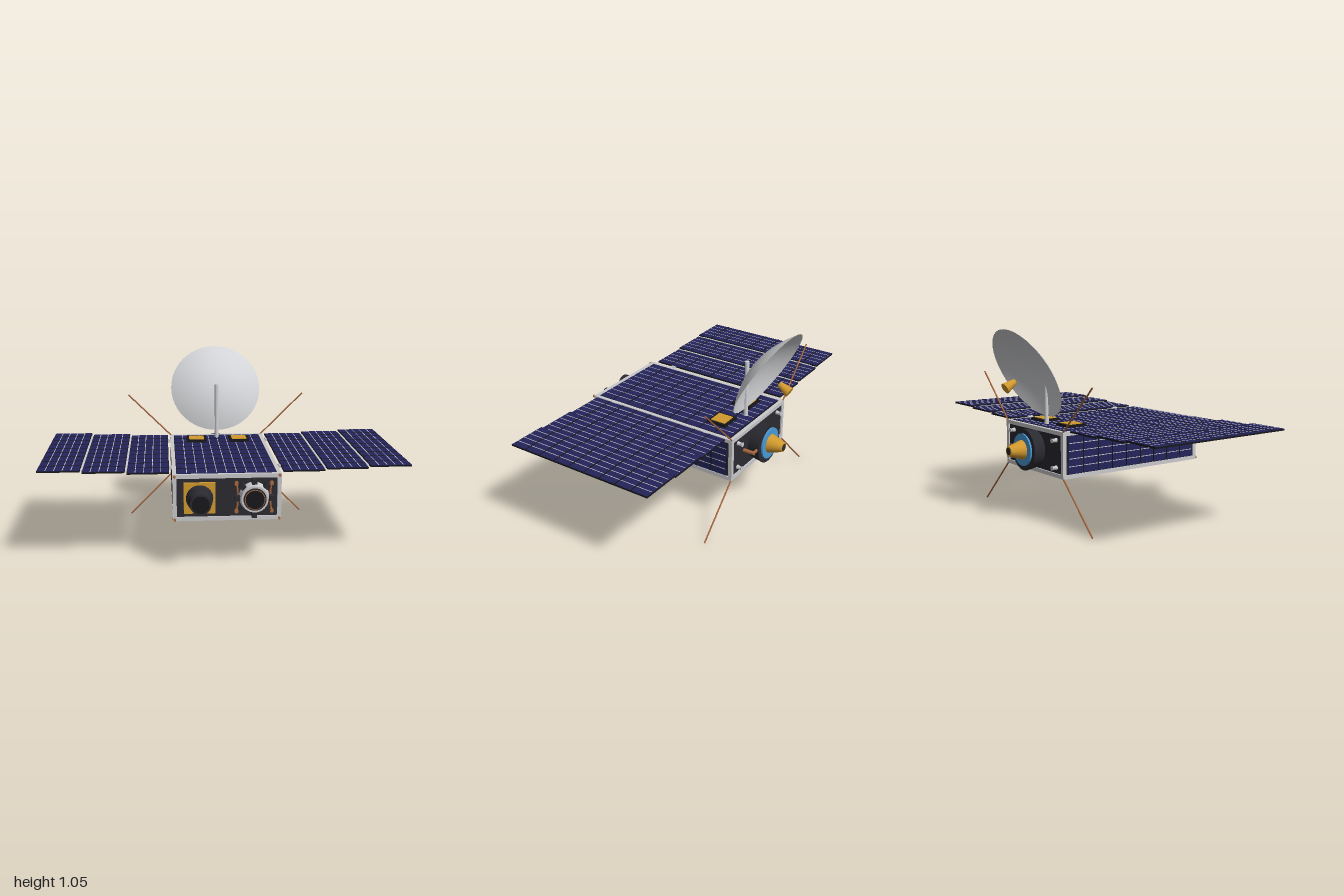
import * as THREE from 'three';

const mat = (name, color, side = THREE.FrontSide) => {
  const m = new THREE.MeshStandardMaterial({ color, side });
  m.name = name;
  return m;
};

export function createModel() {
  const silver = mat('silver frame', 0xc9c9cc);
  const white = mat('dish grey', 0xd2d3d6, THREE.DoubleSide);
  const dark = mat('dark housing', 0x2a2a31);
  const black = mat('panel backing', 0x17171a);
  const navy = mat('solar cell navy', 0x23235a);
  const gold = mat('gold foil', 0xd29a2e);
  const copper = mat('copper', 0xa9683f);
  const blue = mat('blue ring', 0x4a9ad6);

  const root = new THREE.Group();
  root.name = 'satellite';
  const CY = 0.3925, CZ = 0.0325;            // body centre
  const HX = 0.29, HY = 0.1275, HZ = 0.4775; // body half sizes

  const add = (parent, name, geo, m, x = 0, y = 0, z = 0) => {
    const mesh = new THREE.Mesh(geo, m);
    mesh.name = name;
    mesh.position.set(x, y, z);
    parent.add(mesh);
    return mesh;
  };
  const box = (parent, name, m, w, h, d, x, y, z) =>
    add(parent, name, new THREE.BoxGeometry(w, h, d), m, x, y, z);
  // Cylinder along z between two depths, with a radius at each end
  const barrel = (parent, name, m, rFront, rBack, zFront, zBack, x, y, n = 32) =>
    add(parent, name, new THREE.CylinderGeometry(rFront, rBack, zFront - zBack, n).rotateX(Math.PI / 2),
      m, x, y, (zFront + zBack) / 2);
  const group = (name) => {
    const g = new THREE.Group();
    g.name = name;
    root.add(g);
    return g;
  };
  const rod = (parent, name, m, a, b, r) => {
    const dir = new THREE.Vector3().subVectors(b, a);
    const mesh = add(parent, name, new THREE.CylinderGeometry(r, r, dir.length(), 8), m);
    mesh.position.copy(a).addScaledVector(dir, 0.5);
    mesh.quaternion.setFromUnitVectors(new THREE.Vector3(0, 1, 0), dir.normalize());
    return mesh;
  };

  // Solar panel lying in xz, facing up: backing, cells, silver lines, dark gaps
  const solarPanel = (name, w, l, cols, rows) => {
    const g = group(name);
    box(g, 'backing', black, w, 0.008, l, 0, 0, 0);
    box(g, 'cells', navy, w - 0.004, 0.002, l - 0.004, 0, 0.005, 0);
    for (let i = 1; i < cols; i++)
      box(g, 'silverLine', silver, 0.004, 0.002, l - 0.01, -w / 2 + (w * i) / cols, 0.0058, 0);
    for (let j = 1; j < rows; j++)
      box(g, 'cellGap', black, w - 0.004, 0.002, 0.006, 0, 0.0066, -l / 2 + (l * j) / rows);
    return g;
  };

  // Body core and frame rails
  const body = group('body');
  const R = 0.022;
  box(body, 'core', dark, 2 * HX - 0.016, 2 * HY - 0.016, 2 * HZ - 0.016, 0, CY, CZ);
  for (const a of [-1, 1]) for (const b of [-1, 1]) {
    box(body, 'longRail', silver, R, R, 2 * HZ, a * (HX - R / 2), CY + b * (HY - R / 2), CZ);
    box(body, 'crossRail', silver, 2 * HX - 2 * R, R, R, 0, CY + a * (HY - R / 2), CZ + b * (HZ - R / 2));
    box(body, 'cornerPost', silver, R, 2 * HY - 2 * R, R, a * (HX - R / 2), CY, CZ + b * (HZ - R / 2));
    barrel(body, 'cornerBolt', copper, 0.007, 0.007, 0.524, 0.505, a * (HX - 0.011), CY + b * (HY - 0.009), 10);
    // wing hinges on the top edges
    barrel(body, 'wingHinge', silver, 0.009, 0.009, 0.035 + b * 0.315 + 0.016, 0.035 + b * 0.315 - 0.016,
      a * 0.298, 0.518, 12);
  }

  // Body solar panels: top and both sides
  solarPanel('topPanel', 0.532, 0.9, 10, 9).position.set(0, CY + HY - 0.005, 0.035);
  for (const s of [-1, 1]) {
    const p = solarPanel('sidePanel', 0.211, 0.89, 5, 9);
    p.rotation.z = -s * Math.PI / 2;
    p.position.set(s * (HX - 0.008), CY, 0.035);
  }

  // Gold foil underside in three bays
  for (let i = -1; i <= 1; i++) {
    box(body, 'foilBay', gold, 0.53, 0.008, 0.288, 0, CY - HY + 0.008, CZ + i * 0.303);
    if (i) box(body, 'bayDivider', silver, 0.536, 0.01, 0.012, 0, CY - HY + 0.007, CZ + i * 0.1515);
  }

  // Wings: three panels each, stepping up outward, with silver hinge rods
  for (const s of [-1, 1]) {
    [[0.305, 0.53], [0.54, 0.765], [0.775, 1]].forEach(([x0, x1], i) => {
      solarPanel('wingPanel', x1 - x0, 0.885, 5, 9).position.set(s * (x0 + x1) / 2, 0.521 + i * 0.009, 0.0325);
      if (i) box(root, 'wingHingeRod', silver, 0.012, 0.006, 0.8, s * (x0 - 0.005), 0.517 + i * 0.009, 0.035);
    });
    // patch antennas on the deck
    box(root, 'patchBase', black, 0.12, 0.016, 0.12, s * 0.13, 0.526, -0.28);
    box(root, 'patchFace', gold, 0.09, 0.005, 0.09, s * 0.13, 0.5355, -0.28);
  }

  // Whip antennas from the rear corners
  for (const s of [-1, 1]) for (const t of [-1, 1])
    rod(root, 'whipAntenna', copper, new THREE.Vector3(s * 0.28, CY + t * 0.122, -0.44),
      new THREE.Vector3(s * 0.546, CY + t * 0.387, -0.44), 0.0045);

  // Dish with floating feed horn, opening back and down
  add(root, 'dishMast', new THREE.CylinderGeometry(0.0125, 0.0125, 0.335, 16), white, 0, 0.6865, -0.356);
  const dish = group('dishAntenna');
  const profile = [];
  for (let i = 0; i <= 14; i++) {
    const r = Math.max(0.0005, (0.279 * i) / 14);
    profile.push(new THREE.Vector2(r, 0.088 * ((r / 0.279) ** 2 - 1)));
  }
  add(dish, 'reflector', new THREE.LatheGeometry(profile, 48), white);
  add(dish, 'feedHorn', new THREE.CylinderGeometry(0.031, 0.016, 0.071, 20), gold, 0, 0.117, 0);
  dish.position.set(0, 0.811, -0.488);
  dish.quaternion.setFromUnitVectors(new THREE.Vector3(0, 1, 0), new THREE.Vector3(0, -0.479, -0.878).normalize());

  // Main camera on a gold plate
  const cam = group('mainCamera');
  box(cam, 'mountPlate', gold, 0.168, 0.168, 0.018, -0.147, CY, 0.51);
  barrel(cam, 'lensBarrel', dark, 0.066, 0.073, 0.562, 0.515, -0.147, CY);
  barrel(cam, 'lensHood', dark, 0.055, 0.064, 0.638, 0.562, -0.147, CY);
  barrel(cam, 'lensGlass', black, 0.046, 0.046, 0.64, 0.632, -0.147, CY);

  // Second camera: silver drum ringed by dark blocks and copper pipes
  const tracker = group('starTracker');
  const TX = 0.143;
  barrel(tracker, 'drum', silver, 0.072, 0.082, 0.558, 0.5, TX, CY);
  barrel(tracker, 'copperLip', copper, 0.054, 0.054, 0.564, 0.555, TX, CY);
  barrel(tracker, 'aperture', dark, 0.061, 0.061, 0.561, 0.55, TX, CY);
  barrel(tracker, 'lens', black, 0.05, 0.05, 0.568, 0.56, TX, CY);
  for (let i = 0; i < 8; i++) {
    const a = (i * Math.PI) / 4;
    const b = box(tracker, 'clampBlock', dark, 0.03, 0.028, 0.042, TX + 0.092 * Math.cos(a), CY + 0.092 * Math.sin(a), 0.524);
    b.rotation.z = a;
  }
  for (const s of [-1, 1]) {
    const pts = [-1, -0.5, 0.5, 1].map((t) => new THREE.Vector3(
      TX + s * (Math.abs(t) === 1 ? 0.094 : 0.088), CY + t * 0.076, 0.51));
    add(tracker, 'copperPipe', new THREE.TubeGeometry(new THREE.CatmullRomCurve3(pts), 16, 0.005, 8), copper);
    for (const t of [-1, 1])
      barrel(tracker, 'pipeBolt', copper, 0.011, 0.011, 0.522, 0.5, TX + s * 0.094, CY + t * 0.076, 12);
  }

  // Rear engine: dark collar, blue ring, gold nozzle
  const engine = group('engine');
  barrel(engine, 'collar', dark, 0.104, 0.117, -0.435, -0.512, 0, CY, 40);
  barrel(engine, 'blueRing', blue, 0.09, 0.09, -0.505, -0.522, 0, CY, 40);
  barrel(engine, 'nozzle', gold, 0.056, 0.028, -0.518, -0.606, 0, CY);
  barrel(engine, 'nozzleThroat', dark, 0.02, 0.02, -0.604, -0.608, 0, CY, 20);
  barrel(engine, 'fuelPipe', copper, 0.011, 0.011, -0.43, -0.505, 0.15, CY, 14);
  rod(engine, 'fuelPipeElbow', copper, new THREE.Vector3(0.15, CY, -0.498), new THREE.Vector3(0.1, CY, -0.498), 0.009);

  // Four small thrusters around the rear face
  for (const s of [-1, 1]) for (const t of [-1, 1]) {
    barrel(engine, 'thrusterBase', silver, 0.014, 0.01, -0.43, -0.455, s * 0.215, CY + t * 0.075, 16);
    barrel(engine, 'thrusterBell', silver, 0.006, 0.013, -0.45, -0.468, s * 0.215, CY + t * 0.075, 16);
  }
  return root;
}
